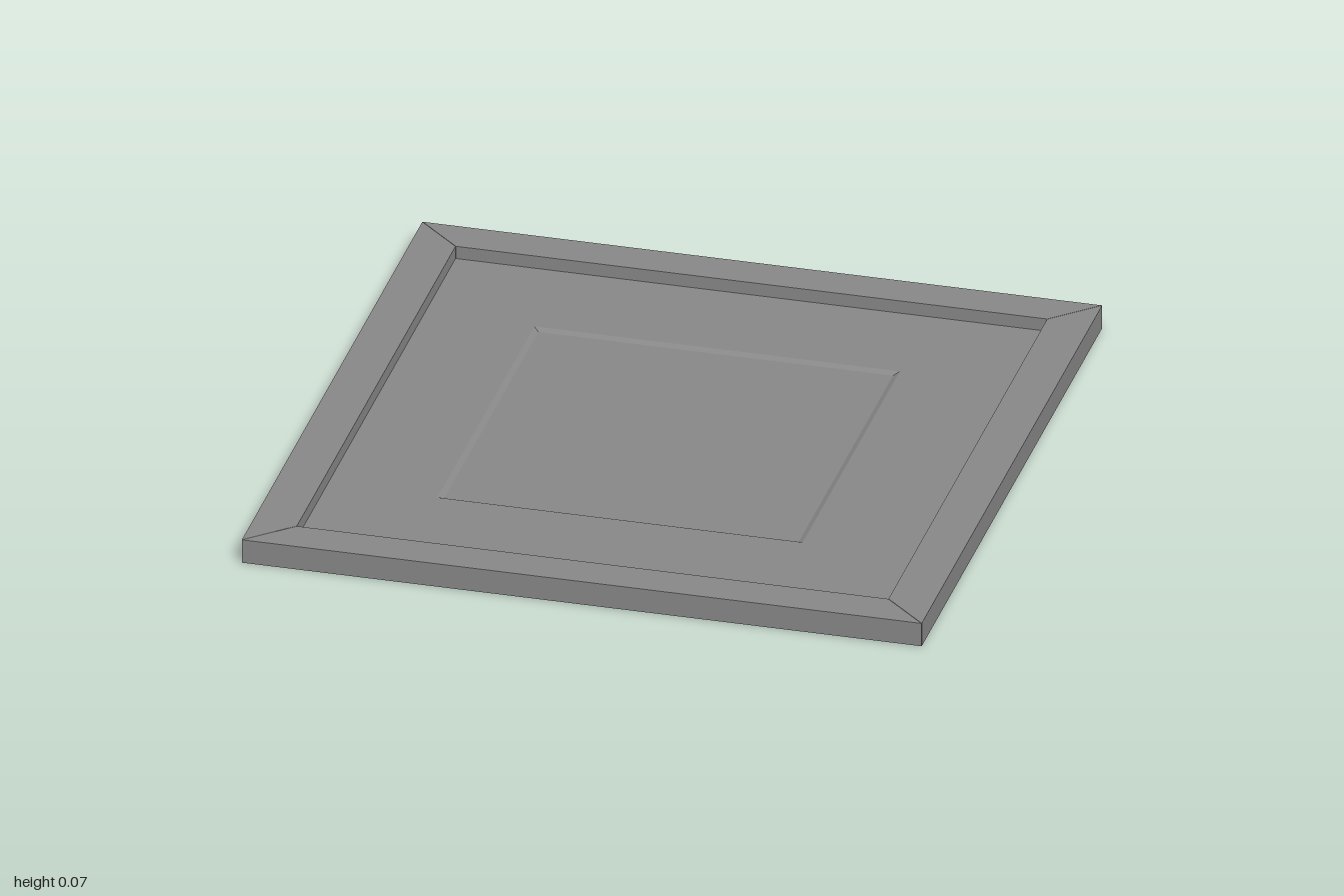
import * as THREE from 'three';

const HEIGHT = 0.073;
const OUTER_X = 0.995;
const OUTER_Z = 1;
const INNER_X = 0.866;
const INNER_Z = 0.88;
const SEAM = 0.001; // half the hairline gap at each mitre

const material = new THREE.MeshStandardMaterial({ color: 0x888888, flatShading: true });

// One mitred rail: a trapezoid drawn in plan and raised to the frame height.
function rail(name, corners, turn) {
  const shape = new THREE.Shape(corners.map(([x, z]) => new THREE.Vector2(x, -z)));
  const geometry = new THREE.ExtrudeGeometry(shape, { depth: HEIGHT, bevelEnabled: false });
  geometry.rotateX(-Math.PI / 2);
  const mesh = new THREE.Mesh(geometry, material);
  mesh.name = name;
  mesh.rotation.y = turn;
  return mesh;
}

// Rectangular rings joined in order by quads; the first and last rings are capped.
function stackRings(rings) {
  const loops = rings.map(({ x, z, y, cx }) => [
    [cx - x, y, -z], [cx - x, y, z], [cx + x, y, z], [cx + x, y, -z],
  ]);
  const points = [];
  const quad = (a, b, c, d) => points.push(...a, ...b, ...c, ...a, ...c, ...d);
  quad(...loops[0]);
  for (let i = 0; i < loops.length - 1; i++) {
    for (let k = 0; k < 4; k++) {
      const n = (k + 1) % 4;
      quad(loops[i][k], loops[i + 1][k], loops[i + 1][n], loops[i][n]);
    }
  }
  quad(...loops[loops.length - 1].slice().reverse());
  const geometry = new THREE.BufferGeometry();
  geometry.setAttribute('position', new THREE.Float32BufferAttribute(points, 3));
  geometry.computeVertexNormals();
  return geometry;
}

export function createModel() {
  const group = new THREE.Group();
  group.name = 'framedPanel';

  // Four mitred rails
  const frame = new THREE.Group();
  frame.name = 'frame';
  const ox = OUTER_X - SEAM;
  const ix = INNER_X - SEAM;
  const oz = OUTER_Z - SEAM;
  const iz = INNER_Z - SEAM;
  const front = [[-ox, OUTER_Z], [ox, OUTER_Z], [ix, INNER_Z], [-ix, INNER_Z]];
  const side = [[OUTER_X, oz], [OUTER_X, -oz], [INNER_X, -iz], [INNER_X, iz]];
  frame.add(
    rail('frontRail', front, 0),
    rail('backRail', front, Math.PI),
    rail('leftRail', side, 0),
    rail('rightRail', side, Math.PI),
  );
  group.add(frame);

  // Thin panel with a shallow pressed square, sunk on top and standing out below
  const top = 0.034;
  const bottom = 0.024;
  const sink = 0.008;
  const rim = { x: 0.535, z: 0.538, cx: -0.01 };
  const floor = { x: 0.519, z: 0.522, cx: -0.01 };
  const edge = { x: INNER_X, z: INNER_Z, cx: 0 };
  const panel = new THREE.Mesh(stackRings([
    { ...floor, y: top - sink },
    { ...rim, y: top },
    { ...edge, y: top },
    { ...edge, y: bottom },
    { ...rim, y: bottom },
    { ...floor, y: bottom - sink },
  ]), material);
  panel.name = 'panel';
  group.add(panel);

  return group;
}
